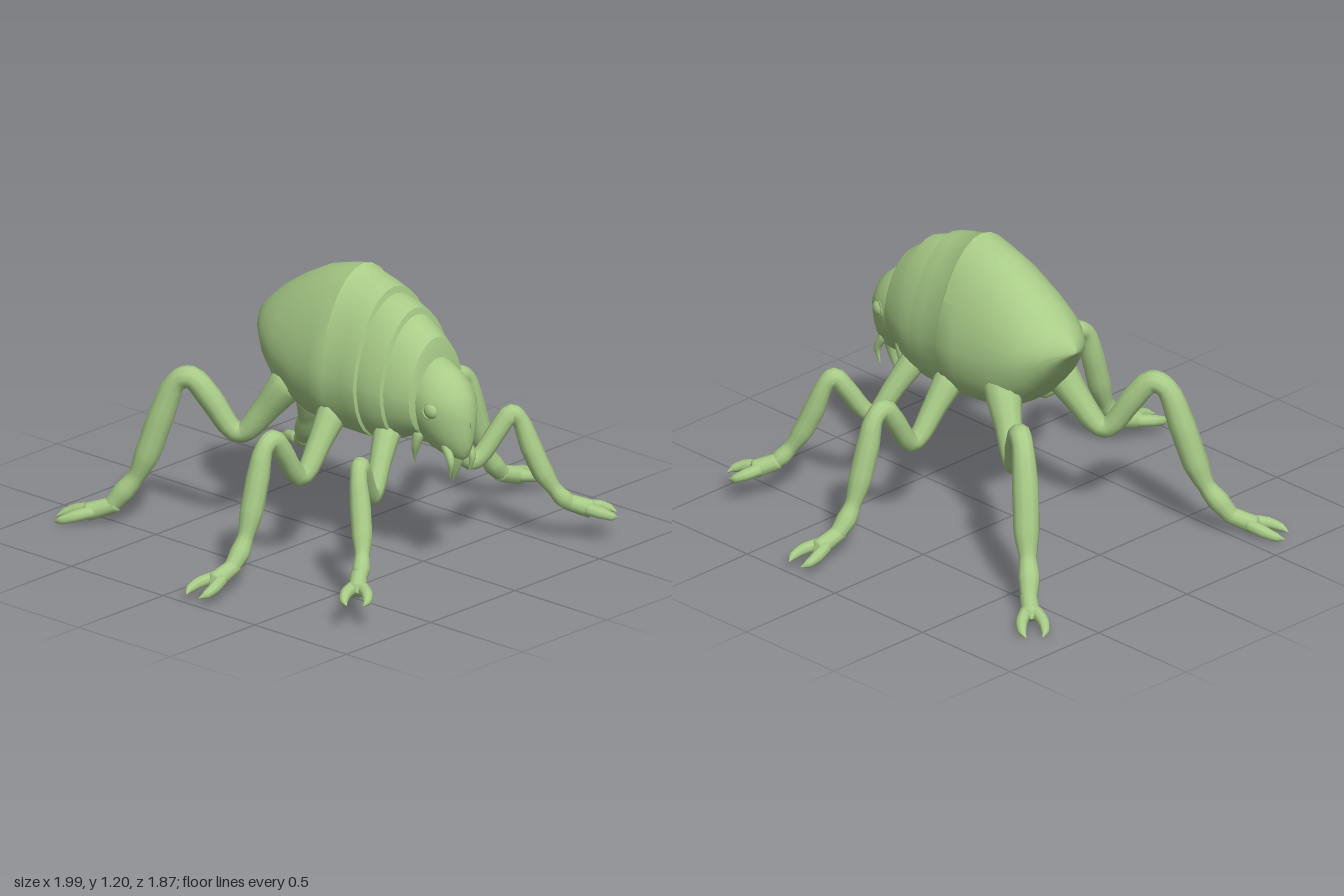
import * as THREE from 'three';
import { mergeVertices, toCreasedNormals } from 'three/addons/utils/BufferGeometryUtils.js';

const mat = new THREE.MeshStandardMaterial({ color: 0xa9cc88 });
const V = (x, y, z) => new THREE.Vector3(x, y, z);

function add(parent, geometry, name) {
  const mesh = new THREE.Mesh(geometry, mat);
  mesh.name = name;
  parent.add(mesh);
  return mesh;
}

// Skin over cross-sections [z, top, bottom, halfWidth, widestY], running back to front.
// lowPow < 1 gives a full, squarish underside; > 1 gives a keel.
function loft(rings, lowPow, crease) {
  const n = 28, pos = [], idx = [];
  rings.forEach(([z, top, bot, hw, wy], i) => {
    for (let j = 0; j < n; j++) {
      const a = (j / n) * Math.PI * 2, c = Math.cos(a), s = Math.sin(a);
      const w = s >= 0 ? Math.abs(c) * (1 - 0.14 * s) : Math.abs(c) ** lowPow;
      pos.push(Math.sign(c) * w * hw, wy + s * (s >= 0 ? top - wy : wy - bot), z);
      if (i < rings.length - 1) {
        const p = i * n + j, q = i * n + (j + 1) % n;
        idx.push(p, q, q + n, p, q + n, p + n);
      }
    }
  });
  const g = new THREE.BufferGeometry();
  g.setAttribute('position', new THREE.Float32BufferAttribute(pos, 3));
  g.setIndex(idx);
  return toCreasedNormals(g, crease);
}

// Tube through points [x, y, z, radius] with a varying radius.
function limb(pts, sides = 10, steps = 4) {
  const curve = new THREE.CatmullRomCurve3(pts.map(p => V(p[0], p[1], p[2])), false, 'centripetal');
  curve.getPointAt = curve.getPoint;
  curve.getTangentAt = curve.getTangent;
  const seg = (pts.length - 1) * steps;
  let g = new THREE.TubeGeometry(curve, seg, 1, sides, false);
  const p = g.attributes.position, v = V(0, 0, 0);
  for (let i = 0; i <= seg; i++) {
    const c = curve.getPoint(i / seg), k = Math.min(Math.floor(i / steps), pts.length - 2);
    const r = THREE.MathUtils.lerp(pts[k][3], pts[k + 1][3], i / steps - k);
    for (let j = 0; j <= sides; j++) {
      const m = i * (sides + 1) + j;
      v.fromBufferAttribute(p, m).sub(c).multiplyScalar(r).add(c);
      p.setXYZ(m, v.x, v.y, v.z);
    }
  }
  g.deleteAttribute('uv');
  g.deleteAttribute('normal');
  g = mergeVertices(g, 1e-5);
  g.computeVertexNormals();
  return g;
}

// Leg of jointed segments ending in a forked foot; the last point is the toe tip
function leg(pts, side, name) {
  const group = new THREE.Group();
  group.name = name;
  const path = pts.map(([x, y, z, r]) => [x * side, y, z, r]);
  const tip = path.pop(), ankle = path[path.length - 1];
  const dir = V(tip[0] - ankle[0], tip[1] - ankle[1], tip[2] - ankle[2]);
  const across = V(-dir.z, 0, dir.x).normalize();
  const at = (t, o, up, r) => [
    ankle[0] + dir.x * t + across.x * o, ankle[1] + dir.y * t + up, ankle[2] + dir.z * t + across.z * o, r];
  add(group, limb([...path, at(0.1, 0, 0, 0.002)]), 'legSegments');
  add(group, limb([at(-0.2, 0, 0.015, 0.002), at(-0.17, 0, 0.012, 0.034), at(0.1, 0, 0.005, 0.036),
    at(0.38, 0, 0, 0.038), at(0.5, 0, 0, 0.002)]), 'foot');
  for (const s of [-1, 1]) {
    add(group, limb([at(0.15, 0.01 * s, 0, 0.002), at(0.3, 0.02 * s, 0.002, 0.027), at(0.6, 0.043 * s, 0.004, 0.025),
      at(0.85, 0.046 * s, 0, 0.018), at(1, 0.034 * s, -0.004, 0.002)], 8), 'claw');
  }
  return group;
}

export function createModel() {
  const model = new THREE.Group();
  model.name = 'insect';

  // Body with three overlapping plates
  add(model, loft([
    [-0.385, 0.888, 0.878, 0.002, 0.883],
    [-0.35, 0.925, 0.845, 0.065, 0.875],
    [-0.3, 0.97, 0.775, 0.125, 0.86],
    [-0.23, 1.03, 0.685, 0.18, 0.84],
    [-0.14, 1.09, 0.585, 0.212, 0.82],
    [0, 1.165, 0.545, 0.236, 0.8],
    [0.1, 1.195, 0.535, 0.243, 0.8],
    [0.18, 1.213, 0.53, 0.25, 0.8],
    [0.19, 1.203, 0.53, 0.245, 0.8],
    [0.29, 1.178, 0.53, 0.242, 0.8],
    [0.355, 1.158, 0.53, 0.236, 0.79],
    [0.36, 1.13, 0.535, 0.222, 0.79],
    [0.42, 1.12, 0.54, 0.218, 0.78],
    [0.475, 1.098, 0.555, 0.205, 0.78],
    [0.48, 1.07, 0.56, 0.19, 0.78],
    [0.53, 1.045, 0.585, 0.178, 0.77],
    [0.59, 1.0, 0.6, 0.155, 0.77],
    [0.605, 0.93, 0.62, 0.12, 0.76],
    [0.607, 0.78, 0.75, 0.005, 0.76],
  ], 0.6, 0.6), 'body');

  // Head with a keeled lower face
  add(model, loft([
    [0.5, 0.79, 0.72, 0.01, 0.75],
    [0.52, 0.92, 0.57, 0.12, 0.76],
    [0.61, 0.918, 0.53, 0.13, 0.76],
    [0.68, 0.885, 0.51, 0.12, 0.75],
    [0.73, 0.845, 0.51, 0.094, 0.74],
    [0.765, 0.79, 0.53, 0.06, 0.72],
    [0.782, 0.745, 0.58, 0.03, 0.69],
    [0.787, 0.69, 0.66, 0.003, 0.675],
  ], 1.3, 0.9), 'head');

  // Beak below the head
  add(model, limb([[0, 0.62, 0.7, 0.05], [0, 0.54, 0.71, 0.036], [0, 0.47, 0.7, 0.02], [0, 0.41, 0.685, 0.002]]), 'beak');

  for (const s of [1, -1]) {
    const label = s > 0 ? 'left' : 'right';

    // Eyes with a raised rim
    const eye = add(model, new THREE.SphereGeometry(0.034, 14, 10), label + 'Eye');
    eye.position.set(0.108 * s, 0.735, 0.67);
    eye.scale.set(0.7, 1, 1);
    const rim = add(model, new THREE.TorusGeometry(0.036, 0.008, 6, 16), label + 'EyeRim');
    rim.position.set(0.109 * s, 0.735, 0.67);
    rim.rotation.y = s * 1.2;

    // Feelers around the mouth
    add(model, limb([[0.05 * s, 0.62, 0.68, 0.002], [0.055 * s, 0.58, 0.7, 0.02], [0.06 * s, 0.52, 0.735, 0.016],
      [0.055 * s, 0.45, 0.725, 0.002]], 8), label + 'FrontPalp');
    add(model, limb([[0.06 * s, 0.66, 0.57, 0.002], [0.08 * s, 0.61, 0.575, 0.024], [0.085 * s, 0.55, 0.56, 0.018],
      [0.075 * s, 0.48, 0.545, 0.002]], 8), label + 'RearPalp');

    // Three pairs of legs
    model.add(leg([
      [0.08, 0.64, 0.43, 0.01], [0.12, 0.6, 0.44, 0.058], [0.2, 0.49, 0.475, 0.045], [0.275, 0.38, 0.51, 0.038],
      [0.31, 0.39, 0.525, 0.038], [0.39, 0.51, 0.565, 0.04], [0.43, 0.565, 0.59, 0.037], [0.46, 0.53, 0.61, 0.035],
      [0.485, 0.42, 0.645, 0.044], [0.515, 0.31, 0.685, 0.043], [0.545, 0.245, 0.715, 0.03], [0.575, 0.2, 0.74, 0.037],
      [0.615, 0.165, 0.765, 0.027], [0.745, 0.125, 0.875, 0]], s, label + 'FrontLeg'));
    model.add(leg([
      [0.12, 0.66, 0.18, 0.01], [0.17, 0.62, 0.18, 0.066], [0.25, 0.52, 0.185, 0.05], [0.345, 0.4, 0.19, 0.04],
      [0.385, 0.405, 0.19, 0.04], [0.47, 0.53, 0.19, 0.044], [0.525, 0.598, 0.19, 0.04], [0.575, 0.57, 0.19, 0.038],
      [0.61, 0.46, 0.19, 0.048], [0.65, 0.32, 0.193, 0.048], [0.685, 0.225, 0.195, 0.033], [0.72, 0.165, 0.197, 0.042],
      [0.79, 0.1, 0.2, 0.03], [0.995, 0.055, 0.203, 0]], s, label + 'MiddleLeg'));
    model.add(leg([
      [0.1, 0.71, -0.07, 0.01], [0.14, 0.67, -0.1, 0.08], [0.185, 0.55, -0.18, 0.057], [0.235, 0.435, -0.265, 0.044],
      [0.26, 0.44, -0.3, 0.043], [0.315, 0.57, -0.375, 0.05], [0.36, 0.655, -0.44, 0.047], [0.39, 0.635, -0.49, 0.044],
      [0.425, 0.48, -0.545, 0.055], [0.46, 0.31, -0.59, 0.053], [0.485, 0.215, -0.625, 0.036], [0.515, 0.15, -0.665, 0.045],
      [0.56, 0.075, -0.715, 0.031], [0.685, 0.022, -0.885, 0]], s, label + 'RearLeg'));
  }

  // The whole creature stands slightly turned
  model.rotation.y = -0.04;
  const root = new THREE.Group();
  root.name = 'insectModel';
  root.add(model);
  return root;
}
